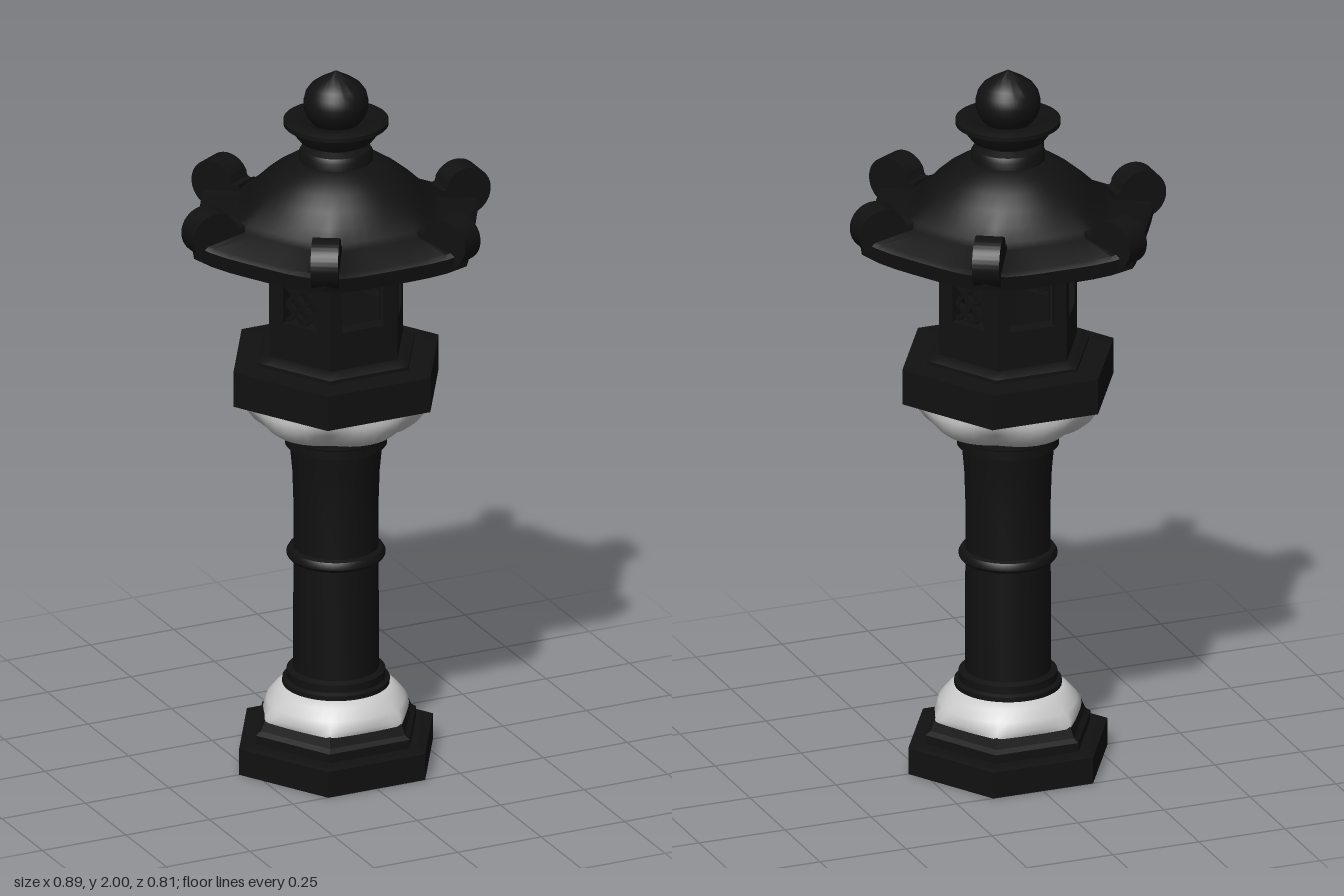
import * as THREE from 'three';
import { toCreasedNormals } from 'three/addons/utils/BufferGeometryUtils.js';

const dark = new THREE.MeshStandardMaterial({ color: 0x111111 });
const pale = new THREE.MeshStandardMaterial({ color: 0xcccccc });
const APOTHEM = Math.cos(Math.PI / 6);

// Stack of rings [corner radius, y, roundness (0 hexagon, 1 circle, >1 bulging sides), corner lift]
function loft(name, rings, material = dark, crease = 0.55) {
  const n = 48, pos = [], idx = [];
  rings.forEach(([R, y, k = 0, lift = 0]) => {
    for (let i = 0; i < n; i++) {
      const a = (i / n) * Math.PI * 2;
      const h = APOTHEM / Math.cos((a % (Math.PI / 3)) - Math.PI / 6);
      const r = R * (h + (1 - h) * k);
      const w = (h - APOTHEM) / (1 - APOTHEM);
      pos.push(r * Math.cos(a), y + lift * w * w, -r * Math.sin(a));
    }
  });
  for (let j = 0; j < rings.length - 1; j++) {
    for (let i = 0; i < n; i++) {
      const a = j * n + i, b = j * n + (i + 1) % n, c = a + n, d = b + n;
      if (rings[j][0] > 0) idx.push(a, b, d);
      if (rings[j + 1][0] > 0) idx.push(a, d, c);
      else if (rings[j][0] > 0) idx.splice(idx.length - 3, 3, a, b, c);
    }
  }
  const g = new THREE.BufferGeometry();
  g.setAttribute('position', new THREE.Float32BufferAttribute(pos, 3));
  g.setIndex(idx);
  const mesh = new THREE.Mesh(toCreasedNormals(g, crease), material);
  mesh.name = name;
  return mesh;
}

// Round turned part from [radius, y] points, bottom to top
function turned(name, pts) {
  const g = new THREE.LatheGeometry(pts.map(p => new THREE.Vector2(...p)), 48);
  const mesh = new THREE.Mesh(toCreasedNormals(g, 0.6), dark);
  mesh.name = name;
  return mesh;
}

// One chamber wall with a window; lattice sides get crossed bars
function wall(lattice) {
  const g = new THREE.Group();
  const w = lattice ? 0.055 : 0.066, y0 = 1.31, y1 = lattice ? 1.415 : 1.43;
  const s = new THREE.Shape([[-0.1, 1.19], [0.1, 1.19], [0.1, 1.52], [-0.1, 1.52]].map(p => new THREE.Vector2(...p)));
  s.holes.push(new THREE.Path([[-w, y0], [-w, y1], [w, y1], [w, y0]].map(p => new THREE.Vector2(...p))));
  const panel = new THREE.Mesh(new THREE.ExtrudeGeometry(s, { depth: 0.045, bevelEnabled: false }), dark);
  panel.name = 'wallPanel';
  panel.position.z = 0.2 * APOTHEM - 0.045;
  g.add(panel);
  if (lattice) {
    const cy = (y0 + y1) / 2, h = (y1 - y0) / 2;
    const bar = (xa, ya, xb, yb) => {
      const m = new THREE.Mesh(new THREE.BoxGeometry(Math.hypot(xb - xa, yb - ya), 0.013, 0.014), dark);
      m.name = 'latticeBar';
      m.position.set((xa + xb) / 2, cy + (ya + yb) / 2, 0.2 * APOTHEM - 0.022);
      m.rotation.z = Math.atan2(yb - ya, xb - xa);
      g.add(m);
    };
    for (const q of [-1, 1]) {
      bar(-w, -h * q, w, h * q);
      for (const p of [-1, 1]) bar(p * w, 0, 0, q * h);
    }
  }
  g.name = lattice ? 'latticeWall' : 'windowWall';
  return g;
}

// Curled ornament on a roof corner, pointing along +x
function scrollGeometry() {
  const s = new THREE.Shape();
  s.moveTo(0.29, 1.53);
  s.lineTo(0.377, 1.525);
  s.absarc(0.377, 1.593, 0.068, -Math.PI / 2, Math.PI * 0.85, false);
  s.quadraticCurveTo(0.315, 1.597, 0.29, 1.612);
  const g = new THREE.ExtrudeGeometry(s, { depth: 0.074, bevelEnabled: false, curveSegments: 24 });
  g.translate(0, 0, -0.037);
  return toCreasedNormals(g, 0.6);
}

export function createModel() {
  const model = new THREE.Group();
  model.name = 'stoneLantern';

  // Stepped hexagonal foot
  model.add(loft('foot', [[0, 0], [0.29, 0], [0.29, 0.075], [0.272, 0.08], [0.24, 0.08], [0.24, 0.105],
    [0.225, 0.115], [0.212, 0.145], [0, 0.145]]));
  model.add(loft('lowerBowl', [[0.213, 0.14, 0.2], [0.21, 0.155, 0.5], [0.19, 0.18, 0.9], [0.165, 0.208, 1],
    [0.145, 0.222, 1], [0, 0.222, 1]], pale, 0.9));

  // Round shaft with collars and a middle ring
  model.add(turned('shaft', [[0, 0.215], [0.145, 0.215], [0.145, 0.235], [0.133, 0.24], [0.133, 0.262], [0.116, 0.268],
    [0.115, 0.585], [0.127, 0.588], [0.133, 0.596], [0.133, 0.606], [0.127, 0.616], [0.115, 0.62],
    [0.115, 0.75], [0.118, 0.84], [0.125, 0.915], [0.138, 0.92], [0.138, 0.945], [0.146, 0.95],
    [0.146, 0.96], [0.162, 0.963], [0.162, 0.98], [0, 0.98]]));

  // Bulging bowl and hexagonal platform
  model.add(loft('upperBowl', [[0, 0.975, 1], [0.168, 0.975, 1.3], [0.187, 0.985, 1.8], [0.205, 1.002, 1.9], [0.235, 1.03, 1.4],
    [0.257, 1.055, 0.9], [0.268, 1.08, 0.5]], pale, 0.9));
  model.add(loft('platform', [[0, 1.075], [0.307, 1.075], [0.307, 1.175], [0.255, 1.18], [0.235, 1.18], [0.235, 1.19],
    [0.21, 1.203], [0, 1.203]]));

  // Six-sided light chamber: open front and back, lattice on the rest
  const chamber = new THREE.Group();
  chamber.name = 'lightChamber';
  for (let i = 0; i < 6; i++) {
    const side = wall(i % 3 !== 0);
    side.rotation.y = i * Math.PI / 3;
    chamber.add(side);
  }
  model.add(chamber);

  // Domed roof with lifted corners
  model.add(loft('roof', [[0, 1.51], [0.36, 1.508], [0.425, 1.512, 0, 0.015], [0.432, 1.555, 0, 0.015],
    [0.42, 1.566, 0, 0.012], [0.315, 1.592, 0.1], [0.29, 1.606, 0.25], [0.25, 1.638, 0.5], [0.215, 1.672, 0.75],
    [0.175, 1.705, 0.95], [0.14, 1.728, 1], [0.1, 1.745, 1], [0, 1.75, 1]]));
  const scroll = scrollGeometry();
  for (let i = 0; i < 6; i++) {
    const m = new THREE.Mesh(scroll, dark);
    m.name = 'roofScroll';
    m.rotation.y = i * Math.PI / 3;
    model.add(m);
  }

  // Finial: neck, flared dish and pointed ball
  model.add(turned('finialDish', [[0.1, 1.735], [0.1, 1.765], [0.093, 1.778], [0.07, 1.788], [0.072, 1.795], [0.1, 1.803],
    [0.113, 1.82], [0.12, 1.838], [0.142, 1.846], [0.142, 1.858], [0.12, 1.866], [0.085, 1.86], [0.07, 1.85], [0, 1.85]]));
  model.add(turned('finialBall', [[0, 1.84], [0.06, 1.845], [0.078, 1.868], [0.087, 1.89], [0.088, 1.912], [0.082, 1.937],
    [0.068, 1.957], [0.045, 1.974], [0.02, 1.988], [0, 2]]));
  return model;
}
